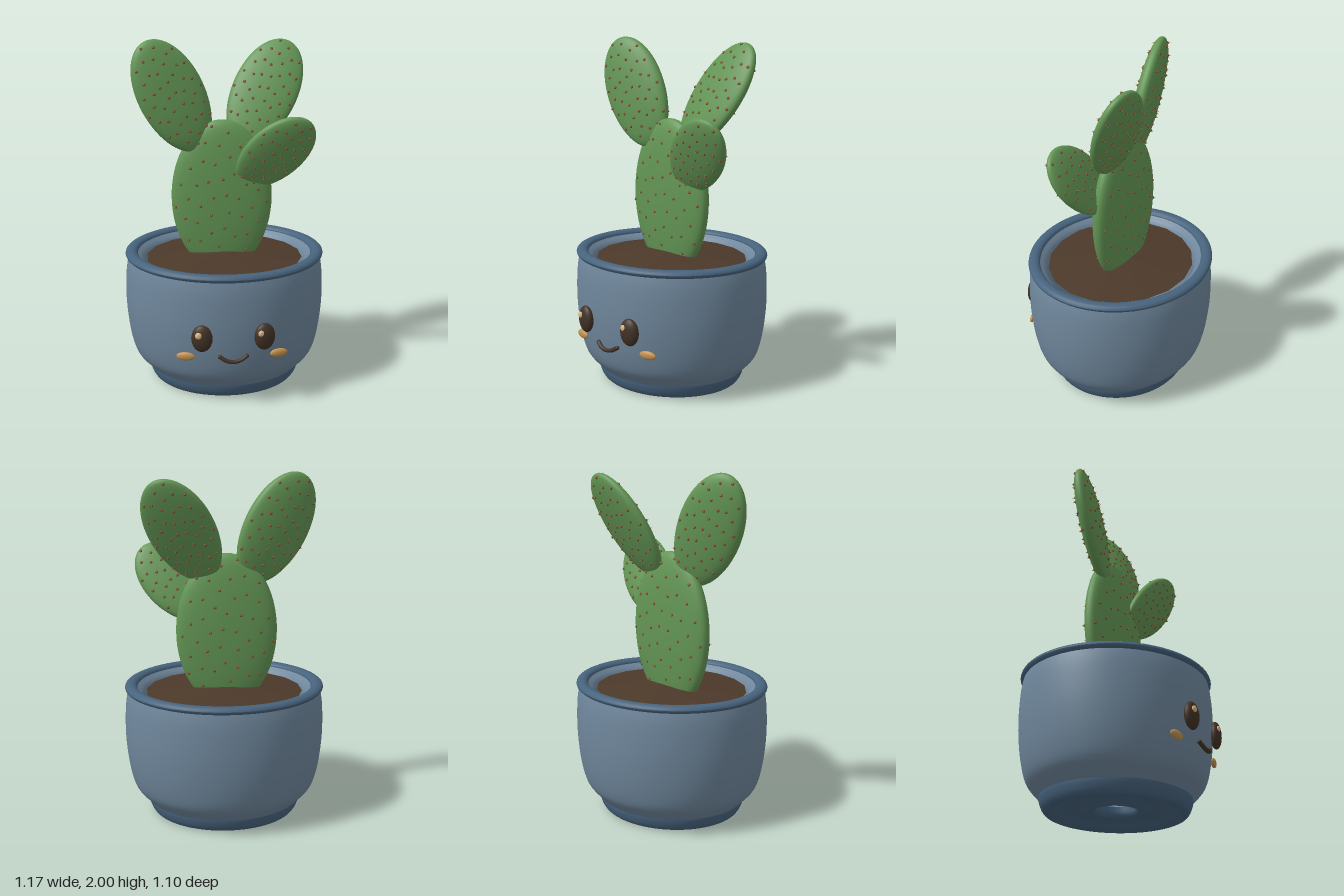
import * as THREE from 'three';
import { mergeGeometries } from 'three/addons/utils/BufferGeometryUtils.js';

const material = (name, color) => {
  const m = new THREE.MeshStandardMaterial({ color });
  m.name = name;
  return m;
};

const smooth = (list, n) =>
  new THREE.SplineCurve(list.map(([x, y]) => new THREE.Vector2(x, y))).getPoints(n);

export function createModel() {
  const mats = {
    glaze: material('potBlue', 0x6f879c),
    trim: material('trimBlue', 0x47637d),
    soil: material('soilBrown', 0x4c392a),
    green: material('cactusGreen', 0x639655),
    spine: material('spineBrown', 0x84502f),
    needle: material('needleTan', 0xb98a58),
    dark: material('faceBrown', 0x413226),
    cheek: material('cheekAmber', 0xc2914e),
    shine: material('eyeShine', 0xe0b988),
  };
  const model = new THREE.Group();
  model.name = 'pottedCactus';

  const add = (parent, name, geometry, mat, pos = [0, 0, 0], rot = [0, 0, 0]) => {
    const mesh = new THREE.Mesh(geometry, mat);
    mesh.name = name;
    mesh.position.set(...pos);
    mesh.rotation.set(...rot);
    parent.add(mesh);
    return mesh;
  };

  // Pot: slightly oval in plan
  const pot = new THREE.Group();
  pot.name = 'pot';
  pot.position.z = -0.014;
  pot.scale.z = 0.918;
  model.add(pot);

  const outer = smooth([[0.45, 0.08], [0.475, 0.105], [0.53, 0.17], [0.562, 0.28],
    [0.58, 0.42], [0.584, 0.55], [0.577, 0.68], [0.56, 0.765]], 28);
  add(pot, 'potOuterWall', new THREE.LatheGeometry(outer, 64), mats.glaze);
  const inner = smooth([[0.53, 0.775], [0.512, 0.762], [0.465, 0.7], [0.46, 0.5],
    [0.43, 0.25], [0.34, 0.13], [0.115, 0.08]], 28);
  add(pot, 'potInnerWall', new THREE.LatheGeometry(inner, 64), mats.glaze);

  // Rounded rim
  const rim = [];
  for (let i = 0; i <= 16; i++) {
    const a = (i / 16) * Math.PI * 2;
    rim.push(new THREE.Vector2(0.547 + 0.036 * Math.cos(a), 0.763 + 0.023 * Math.sin(a)));
  }
  add(pot, 'rim', new THREE.LatheGeometry(rim, 64), mats.trim);

  // Foot ring with hollow underside and a lipped drain hole
  const foot = smooth([[0.115, 0.08], [0.117, 0.04], [0.138, 0.018], [0.17, 0.022], [0.23, 0.045],
    [0.3, 0.038], [0.36, 0.008], [0.41, 0.003], [0.434, 0.025], [0.448, 0.06], [0.452, 0.085]], 44);
  add(pot, 'foot', new THREE.LatheGeometry(foot, 64), mats.trim);

  // Soil: low mound
  add(pot, 'soil', new THREE.ConeGeometry(0.46, 0.04, 18, 1, true), mats.soil, [0, 0.752, 0]);

  // Cactus pad: flattened egg, its two faces dotted with spines
  const pad = (name, pos, rot, [w, h, t], egg, perFace) => {
    const group = new THREE.Group();
    group.name = name;
    group.position.set(...pos);
    group.rotation.set(...rot);
    model.add(group);
    const power = (z, e) => Math.sign(z) * Math.abs(z) ** e;
    const surface = (u) => [
      new THREE.Vector3(u.x * w * (1 + egg * u.y), u.y * h, power(u.z, 0.8) * t),
      new THREE.Vector3(u.x / w, u.y / h, (1.25 * power(u.z, 1.2)) / t).normalize(),
    ];

    const body = new THREE.SphereGeometry(1, 48, 32);
    const { position, normal } = body.attributes;
    const unit = new THREE.Vector3();
    for (let i = 0; i < position.count; i++) {
      const [p, n] = surface(unit.fromBufferAttribute(position, i));
      position.setXYZ(i, p.x, p.y, p.z);
      normal.setXYZ(i, n.x, n.y, n.z);
    }
    add(group, name + 'Body', body, mats.green);

    const spots = [];
    const needles = [];
    const up = new THREE.Vector3(0, 1, 0);
    for (let i = 0; i < perFace * 2; i++) {
      const k = i >> 1;
      const r = 0.95 * Math.sqrt((k + 0.5) / perFace);
      const a = k * 2.39996 + 0.6;
      const face = i % 2 ? -1 : 1;
      const [p, n] = surface(unit.set(r * Math.cos(a), r * Math.sin(a), face * Math.sqrt(1 - r * r)));
      if (pos[1] + p.y < 0.77) continue;
      const q = new THREE.Quaternion().setFromUnitVectors(up, n);
      const put = (g) => g.applyQuaternion(q).translate(p.x, p.y, p.z);
      spots.push(put(new THREE.SphereGeometry(0.0095, 7, 5).scale(1, 0.7, 1)));
      needles.push(put(new THREE.ConeGeometry(0.003, 0.014, 4).translate(0, 0.009, 0)));
    }
    add(group, name + 'Spots', mergeGeometries(spots), mats.spine);
    add(group, name + 'Needles', mergeGeometries(needles), mats.needle);
  };

  pad('mainStem', [-0.013, 1.09, -0.026], [0, -0.06, 0], [0.293, 0.455, 0.076], 0, 46);
  pad('tallRightPad', [-0.294, 1.682, -0.028], [-0.13, 0.2, 0.47], [0.194, 0.343, 0.06], 0.03, 46);
  pad('backLeftPad', [0.245, 1.682, -0.127], [-0.41, -0.13, -0.47], [0.19, 0.34, 0.053], 0.04, 46);
  pad('frontLeftPad', [0.283, 1.367, 0.084], [0.39, 0, -0.72], [0.17, 0.276, 0.048], 0.03, 38);

  // Face
  const face = new THREE.Group();
  face.name = 'face';
  model.add(face);
  const blob = (name, mat, pos, size, yaw) =>
    add(face, name, new THREE.SphereGeometry(1, 24, 16), mat, pos, [0, yaw, 0]).scale.set(...size);
  for (const [side, s] of [['left', 1], ['right', -1]]) {
    blob(side + 'Eye', mats.dark, [s * 0.174, 0.43, 0.513], [0.059, 0.078, 0.032], s * 0.16);
    blob(side + 'EyeShine', mats.shine, [s * 0.174 - 0.021, 0.456, 0.538], [0.019, 0.019, 0.01], s * 0.16);
    blob(side + 'Cheek', mats.cheek, [s * 0.262, 0.305, 0.461], [0.052, 0.025, 0.015], s * 0.22);
  }
  const smile = new THREE.CatmullRomCurve3([[-0.075, 0.316, 0.512], [-0.04, 0.296, 0.522],
    [0, 0.288, 0.525], [0.04, 0.296, 0.522], [0.075, 0.316, 0.512]].map((p) => new THREE.Vector3(...p)));
  add(face, 'mouth', new THREE.TubeGeometry(smile, 24, 0.012, 8), mats.dark);
  for (const s of [-1, 1]) blob('mouthEnd', mats.dark, [s * 0.075, 0.316, 0.512], [0.012, 0.012, 0.012], 0);

  return model;
}
